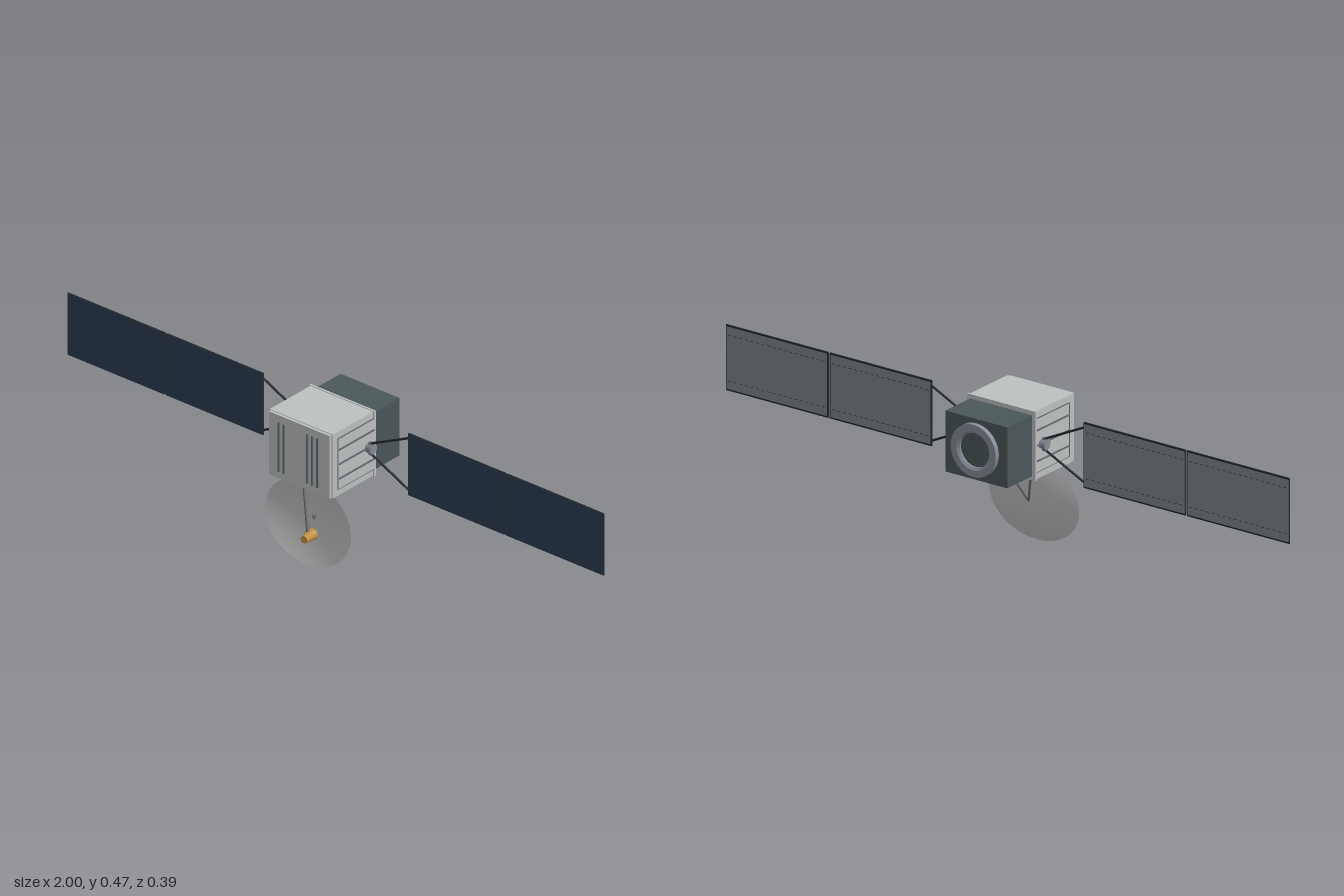
import * as THREE from 'three';

const mat = (name, color, side = THREE.FrontSide) => {
  const m = new THREE.MeshStandardMaterial({ color, side });
  m.name = name;
  return m;
};

export function createModel() {
  const shell = mat('shell grey', 0xbcc0be);
  const dishGrey = mat('dish grey', 0xbcbebc, THREE.DoubleSide);
  const dark = mat('dark slate', 0x4b5659);
  const black = mat('frame black', 0x24282c);
  const steel = mat('steel', 0x666c74);
  const ringGrey = mat('ring grey', 0x868b96);
  const navy = mat('solar navy', 0x2b3a50);
  const backGrey = mat('panel back grey', 0x7c818a);
  const gold = mat('gold', 0xbf8f45);

  const root = new THREE.Group();
  root.name = 'satellite';
  const midY = 0.365, wingZ = -0.028;

  const add = (parent, name, geo, material, x = 0, y = 0, z = 0) => {
    const m = new THREE.Mesh(geo, material);
    m.name = name;
    m.position.set(x, y, z);
    parent.add(m);
    return m;
  };
  const box = (parent, name, material, w, h, d, x, y, z) =>
    add(parent, name, new THREE.BoxGeometry(w, h, d), material, x, y, z);
  // Cylinder or cone running between two points
  const rod = (parent, name, material, a, b, r0, r1 = r0, sides = 10) => {
    const p = new THREE.Vector3(...a), q = new THREE.Vector3(...b);
    const dir = q.clone().sub(p);
    const m = add(parent, name, new THREE.CylinderGeometry(r1, r0, dir.length(), sides), material);
    m.position.copy(p).add(q).multiplyScalar(0.5);
    m.quaternion.setFromUnitVectors(new THREE.Vector3(0, 1, 0), dir.normalize());
    return m;
  };

  // Body with front plate and rear flange
  box(root, 'body', shell, 0.234, 0.208, 0.185, 0, midY, 0.0325);
  box(root, 'frontPlate', shell, 0.226, 0.204, 0.009, 0, midY, 0.1295);
  box(root, 'rearFlange', shell, 0.242, 0.212, 0.007, 0, midY, -0.0565);
  for (const x of [-0.075, -0.055, 0.032, 0.051, 0.07])
    box(root, 'frontLouvre', steel, 0.006, 0.16, 0.005, x, midY, 0.1355);

  // Rear module and engine ring
  box(root, 'rearModule', dark, 0.22, 0.186, 0.118, 0, midY, -0.119);
  const ringProfile = [[0.052, 0], [0.08, 0], [0.08, 0], [0.08, 0.015], [0.08, 0.015],
    [0.06, 0.015], [0.06, 0.015], [0.052, 0.009], [0.052, 0.009], [0.052, 0]]
    .map(([r, y]) => new THREE.Vector2(r, y));
  add(root, 'rearRing', new THREE.LatheGeometry(ringProfile, 40), ringGrey, 0, midY, -0.178)
    .rotation.x = -Math.PI / 2;
  rod(root, 'rearPort', dark, [0, midY, -0.177], [0, midY, -0.181], 0.053, 0.053, 40);

  // Each side: louvred plate, hub, yoke and solar wing
  for (const s of [1, -1]) {
    const side = new THREE.Group();
    side.name = s > 0 ? 'leftSide' : 'rightSide';
    root.add(side);

    box(side, 'sidePlate', shell, 0.004, 0.164, 0.156, s * 0.118, midY, 0.025);
    for (const y of [0.318, 0.365, 0.412])
      box(side, 'sideLouvre', steel, 0.006, 0.004, 0.154, s * 0.121, y, 0.024);
    for (const y of [0.283, 0.447])
      box(side, 'plateEdge', steel, 0.004, 0.002, 0.156, s * 0.1185, y, 0.025);
    box(side, 'plateEdge', steel, 0.004, 0.166, 0.002, s * 0.1185, midY, 0.103);

    rod(side, 'hub', ringGrey, [s * 0.114, midY, wingZ], [s * 0.14, midY, wingZ], 0.015, 0.015, 20);
    box(side, 'yokeRoot', steel, 0.012, 0.04, 0.01, s * 0.131, midY, wingZ);
    for (const t of [1, -1])
      rod(side, 'yokeArm', black, [s * 0.128, midY + t * 0.015, wingZ],
        [s * 0.273, midY + t * 0.085, wingZ], 0.0035);

    for (const [x0, x1] of [[0.27, 0.631], [0.637, 1]]) {
      const w = x1 - x0, x = s * (x0 + x1) / 2;
      box(side, 'panelFrame', black, w, 0.2, 0.005, x, midY, wingZ);
      box(side, 'solarCells', navy, w - 0.001, 0.199, 0.001, x, midY, wingZ + 0.0028);
      box(side, 'panelBack', backGrey, w - 0.006, 0.19, 0.001, x, midY, wingZ - 0.0028);
      // Dashed seams across the back
      for (const t of [1, -1])
        for (let i = 0; i < 18; i++)
          box(side, 'seamDash', black, 0.01, 0.0016, 0.0006,
            x + (i - 8.5) * w / 18.5, midY + t * 0.07, wingZ - 0.0034);
    }
  }

  // Elliptical dish, tipped slightly upward, on two rear struts
  const curve = [];
  for (let i = 0; i <= 12; i++) curve.push(new THREE.Vector2(i / 12, (i / 12) ** 2 - 1));
  const dishGeo = new THREE.LatheGeometry(curve, 48);
  dishGeo.rotateX(Math.PI / 2);
  const dish = add(root, 'dish', dishGeo, dishGrey, 0, 0.1305, 0.095);
  dish.scale.set(0.16, 0.13, 0.026);
  dish.rotation.x = -0.1;
  for (const s of [1, -1])
    rod(root, 'dishStrut', steel, [s * 0.055, 0.265, 0.01], [0, 0.131, 0.07], 0.0035);

  // Feed horn on its arm
  rod(root, 'feedArm', steel, [0.008, 0.27, 0.122], [0.063, 0.142, 0.168], 0.005);
  rod(root, 'feedHorn', gold, [0.061, 0.136, 0.147], [0.069, 0.14, 0.194], 0.018, 0.011, 24);

  return root;
}
